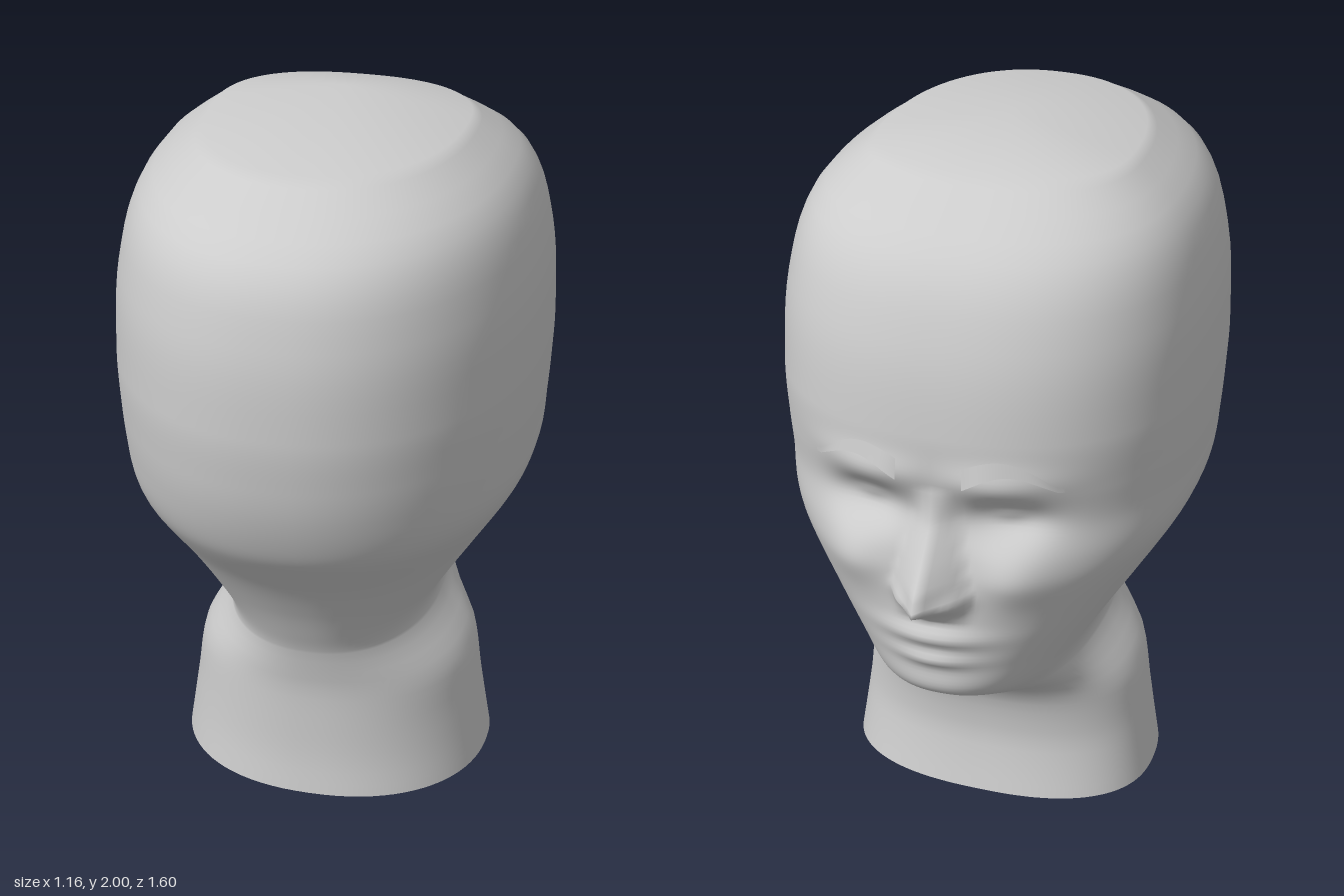
import * as THREE from 'three';

const skin = new THREE.MeshStandardMaterial({ color: 0xcccccc, side: THREE.DoubleSide });
skin.name = 'plain grey';

// Cross-sections: height, half width, back depth, front (face) depth
const SECTIONS = [
  [0.00, 0.445, 0.40, 0.30],
  [0.10, 0.430, 0.39, 0.28],
  [0.20, 0.415, 0.388, 0.27],
  [0.35, 0.390, 0.392, 0.30],
  [0.42, 0.345, 0.405, 0.37],
  [0.49, 0.300, 0.420, 0.51],
  [0.56, 0.308, 0.450, 0.61],
  [0.66, 0.365, 0.500, 0.635],
  [0.78, 0.440, 0.575, 0.645],
  [0.93, 0.530, 0.695, 0.645],
  [1.00, 0.556, 0.733, 0.635],
  [1.10, 0.566, 0.768, 0.615],
  [1.20, 0.573, 0.788, 0.625],
  [1.35, 0.578, 0.802, 0.635],
  [1.60, 0.562, 0.785, 0.595],
  [1.80, 0.497, 0.700, 0.490],
  [1.93, 0.345, 0.470, 0.280],
];

// Smooth interpolation of column c at height y
function section(y, c) {
  const S = SECTIONS, last = S.length - 1;
  let i = 0;
  while (i < last - 1 && y > S[i + 1][0]) i++;
  const slope = (k) => {
    const a = S[Math.max(k - 1, 0)], b = S[Math.min(k + 1, last)];
    return (b[c] - a[c]) / (b[0] - a[0]);
  };
  const h = S[i + 1][0] - S[i][0], t = (y - S[i][0]) / h;
  const t2 = t * t, t3 = t2 * t;
  return (2 * t3 - 3 * t2 + 1) * S[i][c] + (t3 - 2 * t2 + t) * h * slope(i)
    + (3 * t2 - 2 * t3) * S[i + 1][c] + (t3 - t2) * h * slope(i + 1);
}

const bump = (x, y, cx, cy, rx, ry) => Math.exp(-(((x - cx) / rx) ** 2) - ((y - cy) / ry) ** 2);

// Nose ridge: height against how far it stands out
const NOSE = [[0.80, 0], [0.84, 0.045], [0.90, 0.15], [0.95, 0.135], [1.02, 0.085], [1.10, 0.04], [1.20, 0]];
function noseRidge(y) {
  for (let i = 0; i < NOSE.length - 1; i++) {
    const [y0, d0] = NOSE[i], [y1, d1] = NOSE[i + 1];
    if (y >= y0 && y <= y1) return d0 + (d1 - d0) * (y - y0) / (y1 - y0);
  }
  return 0;
}

// Forward relief of the face
function relief(x, y) {
  const ax = Math.abs(x);
  const width = THREE.MathUtils.lerp(0.11, 0.06, THREE.MathUtils.clamp((y - 0.9) / 0.22, 0, 1));
  const across = Math.max(0, 1 - ax / width);
  return noseRidge(y) * across
    + 0.035 * bump(ax, y, 0.23, 0.96, 0.10, 0.09)     // cheeks
    - 0.050 * bump(ax, y, 0.19, 1.11, 0.10, 0.055)    // eye sockets
    + 0.015 * bump(ax, y, 0.19, 1.12, 0.05, 0.025)    // eyelids
    + 0.025 * bump(ax, y, 0.17, 1.23, 0.15, 0.05)     // brow ridges
    + 0.020 * bump(ax, y, 0.075, 0.89, 0.035, 0.03)   // nostrils
    + 0.026 * bump(ax, y, 0, 0.755, 0.13, 0.03)       // upper lip
    + 0.022 * bump(ax, y, 0, 0.68, 0.10, 0.025)       // lower lip
    + 0.012 * bump(ax, y, 0, 0.57, 0.12, 0.05);       // chin
}

const FRONT_POWER = 2.45, BACK_POWER = 2.2;

function faceDepth(x, y) {
  const u = Math.abs(x) / section(y, 1);
  return -section(y, 3) * (1 - u ** FRONT_POWER) ** (1 / FRONT_POWER) - relief(x, y);
}

// Head and neck in one skin, open at the bottom
function makeHead() {
  const heights = [];
  for (let y = 0; y < 0.499; y += 0.035) heights.push(y);
  for (let y = 0.5; y < 1.34; y += 0.0125) heights.push(y);
  for (let y = 1.35; y < 1.92; y += 0.04) heights.push(y);
  heights.push(1.93);

  const around = 128, pos = [], index = [];
  const pow = (v, n) => Math.sign(v) * Math.abs(v) ** (2 / n);
  for (const y of heights) {
    for (let j = 0; j < around; j++) {
      const t = (j / around) * Math.PI * 2;
      const a = t + 0.55 * Math.sin(t);               // closer columns at the face
      const s = Math.sin(a), c = Math.cos(a), front = c < 0;
      const n = front ? FRONT_POWER : BACK_POWER;
      const x = section(y, 1) * pow(s, n);
      let z = section(y, front ? 3 : 2) * pow(c, n);
      if (front) z -= relief(x, y) * Math.min(1, -c * 2);
      pos.push(x, y, z);
    }
  }
  for (let i = 0; i < heights.length - 1; i++) {
    for (let j = 0; j < around; j++) {
      const a = i * around + j, b = i * around + (j + 1) % around;
      index.push(a, b, b + around, a, b + around, a + around);
    }
  }
  // Crown: a low cone to one point
  const top = (heights.length - 1) * around, apex = heights.length * around;
  pos.push(0, 2, 0);
  for (let j = 0; j < around; j++) index.push(top + j, top + (j + 1) % around, apex);

  const g = new THREE.BufferGeometry();
  g.setAttribute('position', new THREE.Float32BufferAttribute(pos, 3));
  g.setIndex(index);
  g.computeVertexNormals();
  return g;
}

// Arched eyebrow strip, thick at the nose and tapering outward
function makeBrow(side) {
  const steps = 16, pos = [], index = [];
  for (let i = 0; i <= steps; i++) {
    const t = i / steps, x = 0.09 + 0.25 * t;
    const mid = 1.255 + 0.05 * Math.sin(Math.PI * Math.min(1, t * 1.05)) - 0.03 * t;
    const half = 0.024 * (1 - t) + 0.006;
    for (const y of [mid - half, mid + half]) {
      pos.push(side * x, y, faceDepth(x, y) - 0.014);
    }
    if (i < steps) {
      const a = i * 2;
      if (side > 0) index.push(a, a + 1, a + 2, a + 1, a + 3, a + 2);
      else index.push(a, a + 2, a + 1, a + 1, a + 2, a + 3);
    }
  }
  const g = new THREE.BufferGeometry();
  g.setAttribute('position', new THREE.Float32BufferAttribute(pos, 3));
  g.setIndex(index);
  g.computeVertexNormals();
  return g;
}

export function createModel() {
  const model = new THREE.Group();
  model.name = 'headBust';
  const add = (geometry, name) => {
    const mesh = new THREE.Mesh(geometry, skin);
    mesh.name = name;
    model.add(mesh);
  };
  add(makeHead(), 'headAndNeck');
  add(makeBrow(1), 'leftEyebrow');
  add(makeBrow(-1), 'rightEyebrow');
  return model;
}
